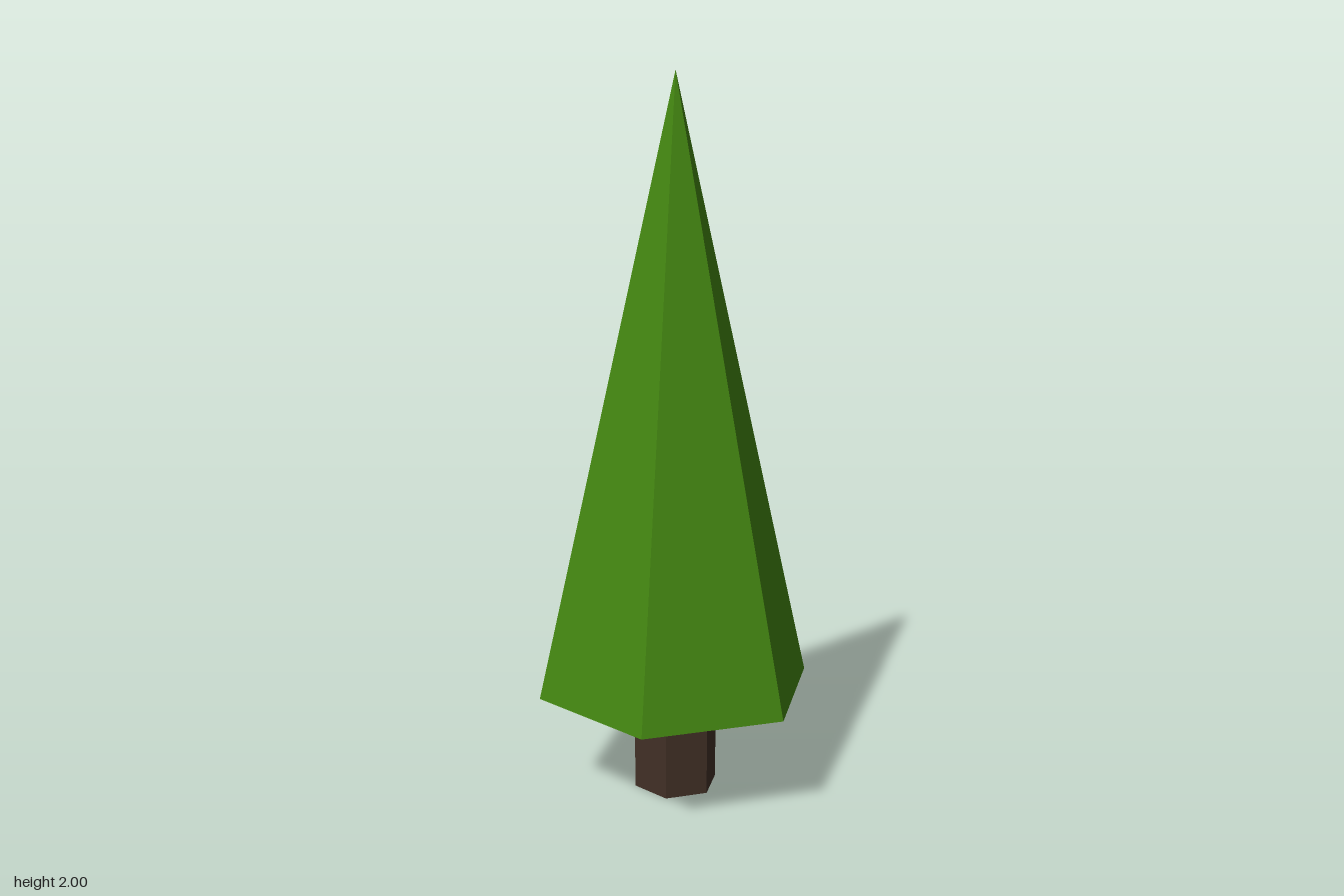
import * as THREE from 'three';

const SIDES = 6;

function material(name, color) {
  const m = new THREE.MeshStandardMaterial({ color, flatShading: true });
  m.name = name;
  return m;
}

export function createModel() {
  const tree = new THREE.Group();
  tree.name = 'tree';

  const add = (name, geometry, mat, y) => {
    const mesh = new THREE.Mesh(geometry, mat);
    mesh.name = name;
    mesh.position.y = y;
    tree.add(mesh);
  };

  const trunkHeight = 0.3;
  const crownHeight = 1.7;

  // hexagonal trunk, corners towards the front and back
  add('trunk', new THREE.CylinderGeometry(0.121, 0.121, trunkHeight, SIDES),
    material('bark brown', 0x423026), trunkHeight / 2);

  // six-sided foliage cone with a closed underside
  add('foliage', new THREE.ConeGeometry(0.395, crownHeight, SIDES),
    material('leaf green', 0x43860f), trunkHeight + crownHeight / 2);

  return tree;
}
